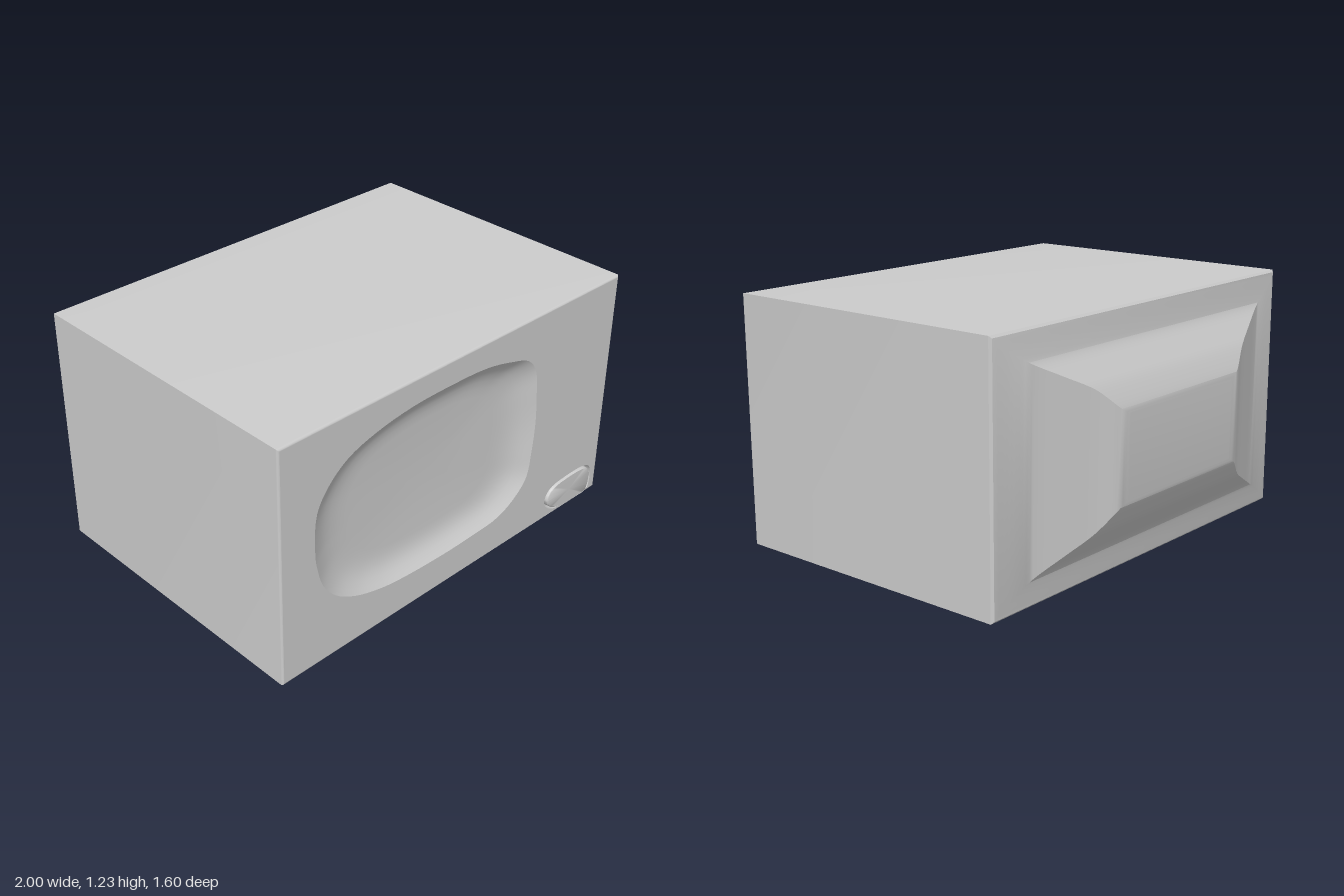
import * as THREE from 'three';
import { toCreasedNormals } from 'three/addons/utils/BufferGeometryUtils.js';

const FRONT = 0.79, MID_Y = 0.665;
const material = new THREE.MeshStandardMaterial({ color: 0xcccccc });

function addMesh(parent, name, geometry) {
  const mesh = new THREE.Mesh(geometry, material);
  mesh.name = name;
  parent.add(mesh);
  return mesh;
}

// Skin over a list of closed rings with equal point counts
function loft(rings, creaseDegrees) {
  const n = rings[0].length, positions = [], index = [];
  rings.forEach((ring) => ring.forEach((p) => positions.push(p.x, p.y, p.z)));
  for (let i = 0; i < rings.length - 1; i++) {
    for (let j = 0; j < n; j++) {
      const a = i * n + j, b = i * n + (j + 1) % n;
      index.push(a, b, a + n, b, b + n, a + n);
    }
  }
  const geometry = new THREE.BufferGeometry();
  geometry.setAttribute('position', new THREE.Float32BufferAttribute(positions, 3));
  geometry.setIndex(index);
  return toCreasedNormals(geometry, THREE.MathUtils.degToRad(creaseDegrees));
}

// Smooth closed outline, counterclockwise from the front
function outline(points, count) {
  const curve = new THREE.CatmullRomCurve3(points.map(([x, y]) => new THREE.Vector3(x, y, 0)), true);
  return curve.getPoints(count).slice(0, count);
}

// Shrinks an outline toward its centre along a [scale, depth] profile
function inset(points, centre, profile, crease) {
  return loft(profile.map(([scale, depth]) => points.map((p) => new THREE.Vector3(
    centre[0] + (p.x - centre[0]) * scale,
    centre[1] + (p.y - centre[1]) * scale,
    FRONT - depth))), crease);
}

const rectangle = (hx, hy, z) => [[1, -1], [1, 1], [-1, 1], [-1, -1]].map(
  ([sx, sy]) => new THREE.Vector3(sx * hx, MID_Y + sy * hy, z));

export function createModel() {
  const model = new THREE.Group();
  model.name = 'microwave';

  // Casing: rear bulge, straight sides and rounded front edge
  const bulge = new THREE.CatmullRomCurve3([
    [0.37, 0.18, -0.8], [0.42, 0.205, -0.795], [0.53, 0.295, -0.75], [0.667, 0.365, -0.7],
    [0.8, 0.43, -0.655], [0.88, 0.475, -0.64], [0.99, 0.555, -0.622],
  ].map((p) => new THREE.Vector3(...p)));
  const rings = [rectangle(0, 0, -0.8)];
  bulge.getPoints(30).forEach((p) => rings.push(rectangle(p.x, p.y, p.z)));
  rings.push(rectangle(1, 0.565, -0.612));
  const r = 0.01;
  for (let i = 0; i <= 5; i++) {
    const t = (i / 5) * Math.PI / 2, d = r * (1 - Math.cos(t));
    rings.push(rectangle(1 - d, 0.565 - d, FRONT - r + r * Math.sin(t)));
  }
  addMesh(model, 'casing', loft(rings, 25));

  // Outlines of the door window and the door button
  const windowLine = outline([
    [-0.82, 0.66], [-0.81, 0.59], [-0.78, 0.49], [-0.71, 0.4], [-0.6, 0.335], [-0.47, 0.295],
    [-0.34, 0.275], [-0.08, 0.262], [0.1, 0.265], [0.29, 0.28], [0.41, 0.345], [0.465, 0.41],
    [0.485, 0.53], [0.495, 0.68], [0.485, 0.83], [0.465, 0.96], [0.41, 1.03], [0.3, 1.07],
    [0.14, 1.105], [-0.08, 1.115], [-0.3, 1.11], [-0.5, 1.08], [-0.65, 1.03], [-0.75, 0.95],
    [-0.81, 0.85],
  ], 100);
  const buttonLine = outline([
    [0.617, 0.195], [0.64, 0.15], [0.7, 0.118], [0.82, 0.112], [0.94, 0.11], [0.96, 0.16],
    [0.95, 0.23], [0.917, 0.26], [0.783, 0.27], [0.65, 0.25],
  ], 60);

  // Flat front with openings for the window and button
  const flat = (points) => points.map((p) => new THREE.Vector2(p.x, p.y));
  const panel = new THREE.Shape(flat(rectangle(1 - r, 0.565 - r, 0)));
  panel.holes.push(new THREE.Path(flat(windowLine)), new THREE.Path(flat(buttonLine)));
  addMesh(model, 'frontPanel', new THREE.ShapeGeometry(panel)).position.z = FRONT;

  // Dished window
  addMesh(model, 'window', inset(windowLine, [-0.15, 0.68], [
    [1, 0], [0.96, 0.015], [0.91, 0.032], [0.86, 0.045], [0.8, 0.055], [0.73, 0.061],
    [0.65, 0.064], [0, 0.065],
  ], 40));

  // Button standing in a narrow groove
  addMesh(model, 'doorButton', inset(buttonLine, [0.79, 0.188], [
    [1, 0], [0.99, 0.03], [0.91, 0.03], [0.91, 0], [0.9, -0.004], [0.87, -0.007], [0, -0.008],
  ], 40));

  // Four feet: stem on a round pad
  for (const x of [-0.765, 0.765]) {
    for (const z of [-0.38, 0.56]) {
      const foot = new THREE.Group();
      foot.name = 'foot';
      foot.position.set(x, 0, z);
      addMesh(foot, 'footPad', new THREE.CylinderGeometry(0.065, 0.065, 0.025, 24)).position.y = 0.0125;
      addMesh(foot, 'footStem', new THREE.CylinderGeometry(0.031, 0.031, 0.09, 20)).position.y = 0.065;
      model.add(foot);
    }
  }
  return model;
}
